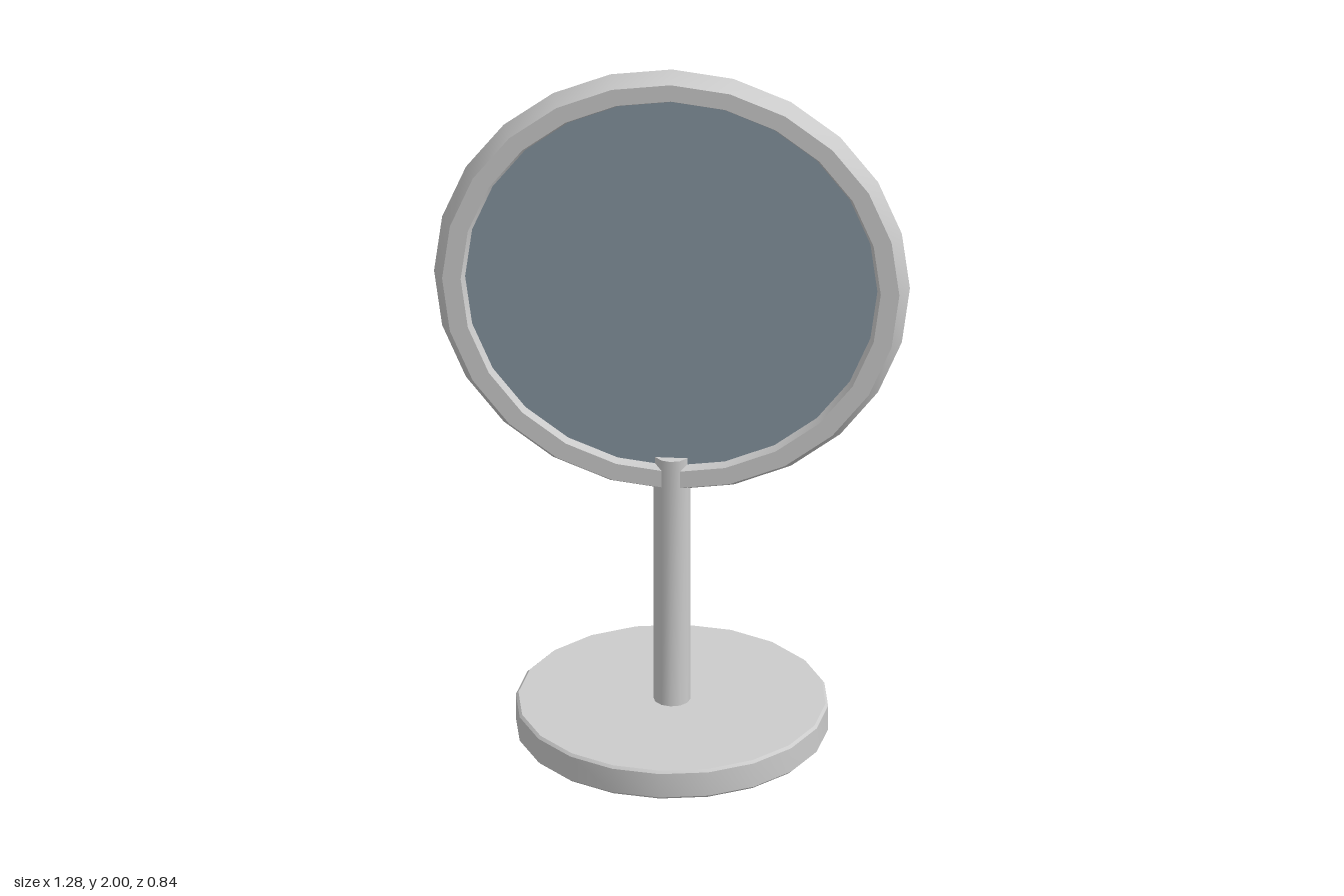
import * as THREE from 'three';
import { toCreasedNormals } from 'three/addons/utils/BufferGeometryUtils.js';

export function createModel() {
  const model = new THREE.Group();
  const grey = new THREE.MeshStandardMaterial({ color: 0xcccccc });
  const glass = new THREE.MeshStandardMaterial({ color: 0x84939f });
  const centreY = 1.36;

  function add(name, geometry, material, y) {
    const mesh = new THREE.Mesh(toCreasedNormals(geometry, 0.6), material);
    mesh.name = name;
    mesh.position.y = y;
    model.add(mesh);
    return mesh;
  }

  // Round foot with a thin chamfer on both rims
  const footProfile = [[0, 0], [0.413, 0], [0.42, 0.007], [0.42, 0.078], [0.413, 0.085], [0, 0.085]]
    .map(([x, y]) => new THREE.Vector2(x, y));
  add('base', new THREE.LatheGeometry(footProfile, 20), grey, 0);

  // Post running from the foot up through the bottom of the ring
  add('post', new THREE.CylinderGeometry(0.05, 0.05, 0.75, 12), grey, 0.455);

  // Ring with a hexagonal cross-section
  add('frame', new THREE.TorusGeometry(0.59, 0.05, 6, 24), grey, centreY);

  // Mirror disc held inside the ring, visible from both sides
  const disc = new THREE.CylinderGeometry(0.56, 0.56, 0.05, 24);
  disc.rotateX(Math.PI / 2);
  add('mirror', disc, glass, centreY);

  return model;
}
